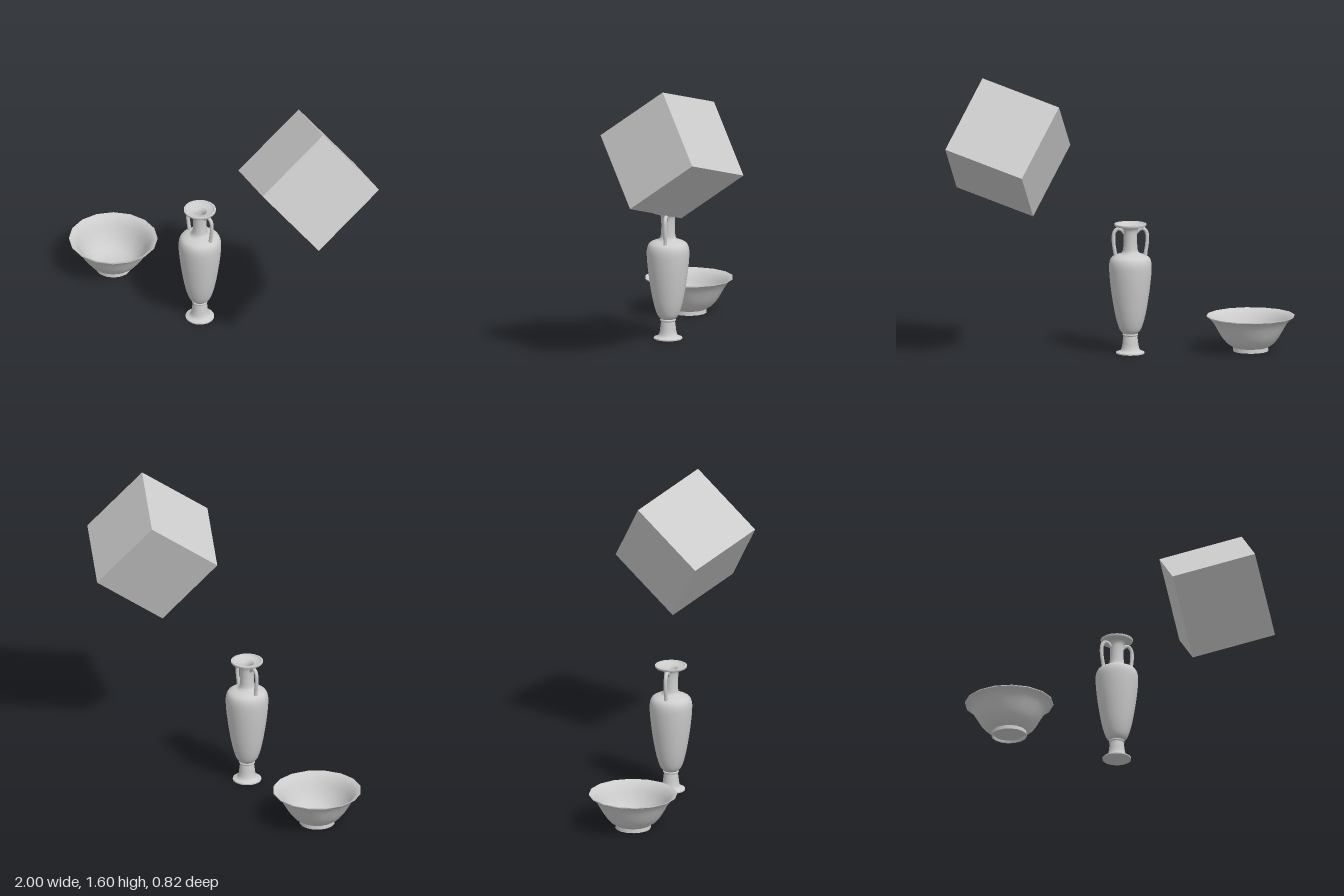
import * as THREE from 'three';
import { mergeGeometries } from 'three/addons/utils/BufferGeometryUtils.js';

const clay = new THREE.MeshStandardMaterial({ color: 0xcccccc });
clay.name = 'pale grey';

// Lathe made of smooth sections that meet at sharp edges
function turned(name, sections, sides) {
  const parts = sections.map(points =>
    new THREE.LatheGeometry(points.map(([r, y]) => new THREE.Vector2(r, y)), sides));
  const mesh = new THREE.Mesh(mergeGeometries(parts), clay);
  mesh.name = name;
  return mesh;
}

function smooth(points, count) {
  const curve = new THREE.CatmullRomCurve3(points.map(([x, y]) => new THREE.Vector3(x, y, 0)), false, 'centripetal');
  return curve.getPoints(count).map(p => [Math.max(p.x, 0), p.y]);
}

function makeBowl() {
  const bowl = new THREE.Group();
  bowl.name = 'bowl';
  bowl.add(turned('bowlFoot', [
    [[0, 0.012], [0.088, 0.012]],
    [[0.088, 0.012], [0.092, 0]],
    [[0.092, 0], [0.1, 0]],
    [[0.1, 0], [0.098, 0.022]],
  ], 16));
  bowl.add(turned('bowlWall', [
    smooth([[0.098, 0.022], [0.13, 0.043], [0.16, 0.078], [0.185, 0.12], [0.207, 0.158], [0.228, 0.183], [0.248, 0.196]], 16),
    [[0.248, 0.196], [0.248, 0.201]],
    smooth([[0.248, 0.201], [0.224, 0.187], [0.2, 0.158], [0.178, 0.12], [0.153, 0.083], [0.12, 0.05], [0.07, 0.03], [0, 0.025]], 16),
  ], 16));
  bowl.position.set(-0.752, 0, 0.157);
  return bowl;
}

function makeVase() {
  const vase = new THREE.Group();
  vase.name = 'vase';
  vase.add(turned('vaseFoot', [
    [[0, 0], [0.08, 0]],
    [[0.08, 0], [0.08, 0.007]],
    smooth([[0.08, 0.007], [0.056, 0.018], [0.047, 0.04], [0.043, 0.07], [0.039, 0.1]], 12),
    [[0.039, 0.1], [0.044, 0.104], [0.044, 0.11], [0.038, 0.114]],
  ], 32));
  vase.add(turned('vaseBody', [
    smooth([[0.038, 0.112], [0.056, 0.13], [0.072, 0.17], [0.087, 0.23], [0.101, 0.31], [0.112, 0.39],
      [0.119, 0.47], [0.118, 0.515], [0.107, 0.543], [0.085, 0.557], [0.055, 0.567]], 30),
  ], 32));
  vase.add(turned('vaseNeck', [
    smooth([[0.055, 0.567], [0.044, 0.58], [0.039, 0.615], [0.038, 0.66], [0.041, 0.7], [0.05, 0.715]], 14),
    [[0.05, 0.715], [0.086, 0.723]],
    [[0.086, 0.723], [0.09, 0.728], [0.09, 0.736]],
    [[0.09, 0.736], [0.08, 0.736]],
    [[0.08, 0.736], [0.074, 0.727], [0.04, 0.72]],
    smooth([[0.04, 0.72], [0.029, 0.705], [0.026, 0.66], [0.026, 0.6]], 8),
    [[0.026, 0.6], [0, 0.6]],
  ], 32));

  // A looped handle on each side, from the neck to the shoulder
  for (const side of [1, -1]) {
    const path = new THREE.CatmullRomCurve3([
      [0.034, 0.685], [0.05, 0.703], [0.072, 0.708], [0.09, 0.69],
      [0.095, 0.655], [0.092, 0.61], [0.086, 0.575], [0.084, 0.545],
    ].map(([x, y]) => new THREE.Vector3(side * x, y, 0)));
    const handle = new THREE.Mesh(new THREE.TubeGeometry(path, 28, 0.0105, 10), clay);
    handle.name = side > 0 ? 'leftHandle' : 'rightHandle';
    vase.add(handle);
  }
  vase.position.set(-0.075, 0, 0.147);
  return vase;
}

function makeCube() {
  const cube = new THREE.Mesh(new THREE.BoxGeometry(0.48, 0.48, 0.48), clay);
  cube.name = 'tiltedCube';
  // Directions of the cube's edges, squared up by cross products
  const u = new THREE.Vector3(0.407, 0.134, 0.213).normalize();
  const w = new THREE.Vector3(0.235, -0.365, -0.213).cross(u).normalize();
  const v = w.clone().cross(u);
  cube.setRotationFromMatrix(new THREE.Matrix4().makeBasis(u, v, w));
  cube.position.set(0.63, 1.213, -0.011);
  return cube;
}

export function createModel() {
  const model = new THREE.Group();
  model.name = 'vaseBowlAndCube';
  model.add(makeBowl(), makeVase(), makeCube());
  return model;
}
